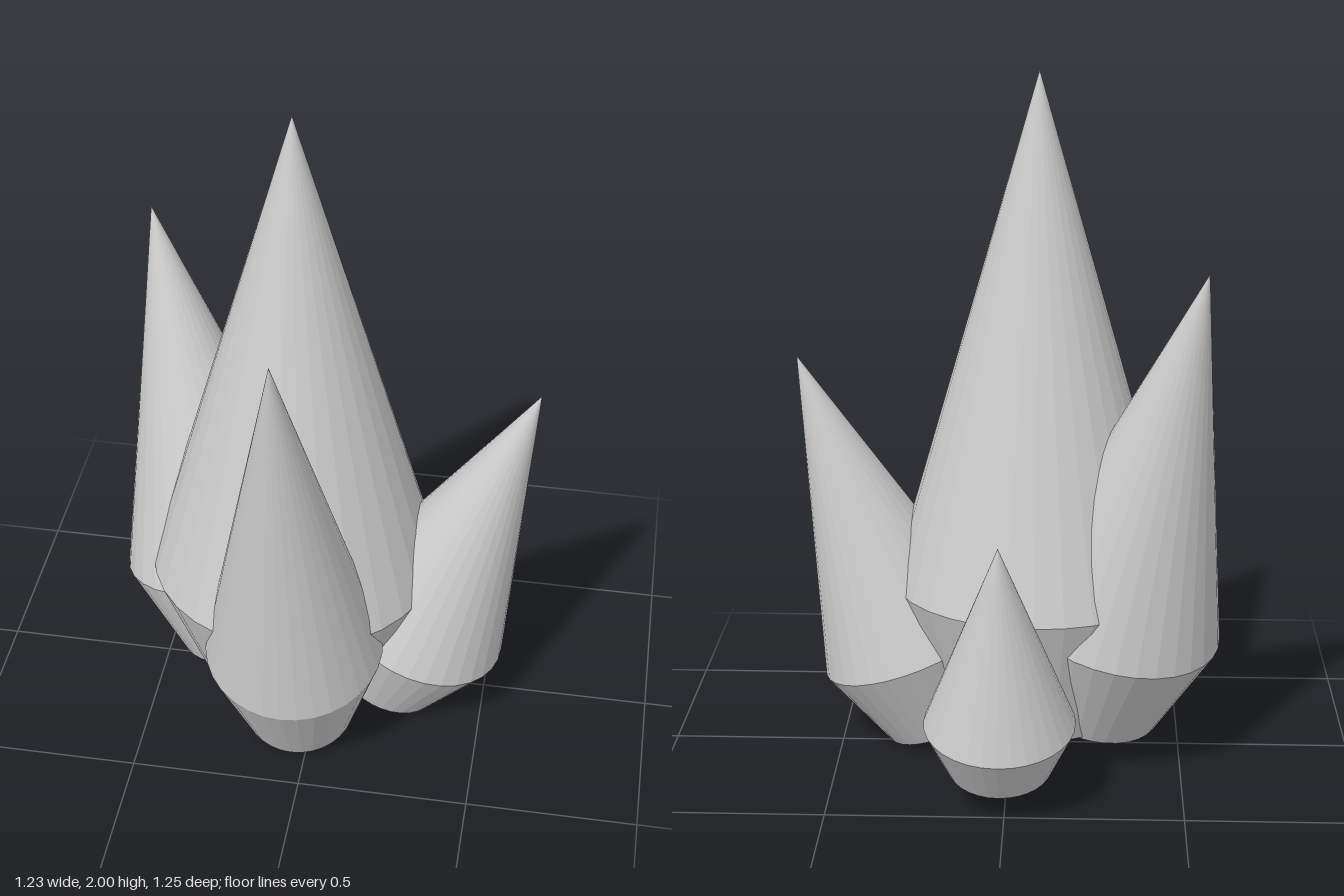
import * as THREE from 'three';

const material = new THREE.MeshStandardMaterial({ color: 0xcccccc, flatShading: true });
const UP = new THREE.Vector3(0, 1, 0);

// One crystal: a tapered foot below the rim and a long point from the rim to the tip
function crystal(name, { rim, tip, radius, footRadius, footHeight }) {
  const centre = new THREE.Vector3(...rim);
  const axis = new THREE.Vector3(...tip).sub(centre);
  const profile = [
    [0, -footHeight],
    [footRadius, -footHeight],
    [radius, 0],
    [0, axis.length()],
  ].map(([x, y]) => new THREE.Vector2(x, y));
  const mesh = new THREE.Mesh(new THREE.LatheGeometry(profile, 32), material);
  mesh.name = name;
  mesh.position.copy(centre);
  mesh.quaternion.setFromUnitVectors(UP, axis.normalize());
  return mesh;
}

export function createModel() {
  const group = new THREE.Group();
  group.name = 'crystalCluster';
  group.add(
    // Tall upright crystal in the middle
    crystal('mainCrystal', {
      rim: [-0.08, 0.517, 0.045], tip: [-0.08, 2, 0.045],
      radius: 0.425, footRadius: 0.28, footHeight: 0.405,
    }),
    // Smaller crystals leaning outward around it
    crystal('frontCrystal', {
      rim: [-0.04, 0.399, 0.318], tip: [-0.04, 1.62, 0.625],
      radius: 0.26, footRadius: 0.166, footHeight: 0.349,
    }),
    crystal('leftCrystal', {
      rim: [0.296, 0.305, 0.045], tip: [0.615, 1.18, 0.045],
      radius: 0.27, footRadius: 0.165, footHeight: 0.26,
    }),
    crystal('rightCrystal', {
      rim: [-0.31, 0.432, -0.055], tip: [-0.545, 1.495, -0.255],
      radius: 0.31, footRadius: 0.2, footHeight: 0.31,
    }),
    crystal('backCrystal', {
      rim: [0.015, 0.252, -0.412], tip: [0.015, 0.805, -0.525],
      radius: 0.2125, footRadius: 0.146, footHeight: 0.151,
    }),
  );
  return group;
}
